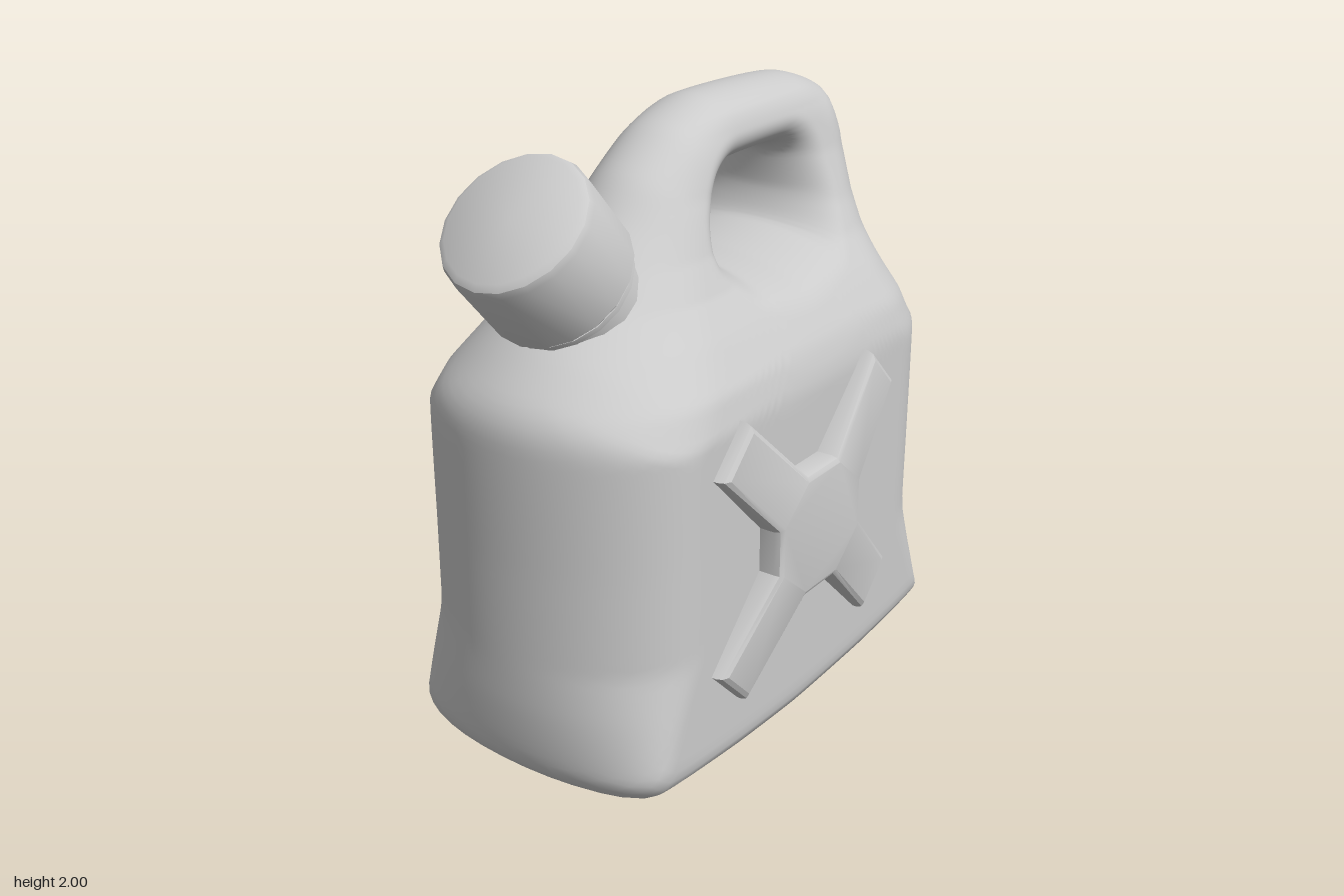
import * as THREE from 'three';
import { toCreasedNormals } from 'three/addons/utils/BufferGeometryUtils.js';

const material = new THREE.MeshStandardMaterial({ color: 0xcccccc });

// Side outline and handle hole as (z, y), both running front -> top -> back -> bottom
const OUTLINE = [[0, 0], [0.4, 0.02], [0.73, 0.05], [0.84, 0.14], [0.865, 0.35], [0.865, 0.8],
  [0.865, 1.2], [0.83, 1.3], [0.72, 1.42], [0.55, 1.57], [0.4, 1.72], [0.3, 1.83], [0.14, 1.94],
  [-0.05, 2], [-0.3, 2], [-0.53, 1.985], [-0.68, 1.93], [-0.75, 1.81], [-0.775, 1.6], [-0.8, 1.45],
  [-0.89, 1.28], [-0.925, 1.2], [-0.925, 0.8], [-0.92, 0.35], [-0.91, 0.14], [-0.83, 0.05], [-0.4, 0.015]];
const HOLE = [[0.08, 1.58], [0.065, 1.65], [0, 1.75], [-0.08, 1.79], [-0.36, 1.79], [-0.42, 1.75],
  [-0.43, 1.63], [-0.38, 1.535], [-0.18, 1.5], [0, 1.52]];
const CENTRE = new THREE.Vector2(-0.18, 1.65);

// Half width and edge rounding by height
const WIDTH = [[0, 0.45], [0.14, 0.467], [1.18, 0.467], [1.28, 0.44], [1.4, 0.365], [1.5, 0.295],
  [1.6, 0.245], [1.75, 0.19], [1.9, 0.155], [2, 0.14]];
const ROUNDING = [[0, 0.1], [0.1, 0.1], [0.5, 0.33], [1.2, 0.33], [1.5, 0.25], [1.8, 0.16], [1.95, 0.1], [2, 0.1]];

function lookup(table, y) {
  for (let i = 1; i < table.length; i++) {
    const [y0, v0] = table[i - 1], [y1, v1] = table[i];
    if (y <= y1) return THREE.MathUtils.lerp(v0, v1, Math.max(0, (y - y0) / (y1 - y0)));
  }
  return table[table.length - 1][1];
}

function closedCurve(points, count) {
  const curve = new THREE.CatmullRomCurve3(
    points.map(([z, y]) => new THREE.Vector3(z, y, 0)), true, 'catmullrom', 0.3);
  return curve.getSpacedPoints(count).slice(0, count).map((p) => new THREE.Vector2(p.x, p.y));
}

// Shortest distance from a point to a closed loop
function distanceTo(loop, z, y) {
  let best = Infinity;
  for (let i = 0; i < loop.length; i++) {
    const a = loop[i], b = loop[(i + 1) % loop.length];
    const dz = b.x - a.x, dy = b.y - a.y;
    const k = THREE.MathUtils.clamp(((z - a.x) * dz + (y - a.y) * dy) / (dz * dz + dy * dy), 0, 1);
    best = Math.min(best, Math.hypot(z - a.x - k * dz, y - a.y - k * dy));
  }
  return best;
}

// Where the ray from the hole's centre towards p crosses the hole's edge
function holePoint(loop, p) {
  const d = p.clone().sub(CENTRE).normalize();
  for (let i = 0; i < loop.length; i++) {
    const a = loop[i].clone().sub(CENTRE), b = loop[(i + 1) % loop.length].clone().sub(CENTRE);
    const ca = d.cross(a), cb = d.cross(b);
    if (ca * cb <= 0 && d.dot(a) + d.dot(b) > 0) return a.lerp(b, ca / (ca - cb)).add(CENTRE);
  }
  return CENTRE.clone();
}

const roundOff = (d, size) => Math.sqrt(1 - (1 - Math.min(d / size, 1)) ** 2);

// Body and handle in one skin: rings run from the hole over the left side to the outline and back
function bodyGeometry() {
  const N = 220, M = 46, ring = 2 * M;
  const outer = closedCurve(OUTLINE, N), hole = closedCurve(HOLE, 90);
  const positions = [], index = [];
  outer.forEach((end, i) => {
    const start = holePoint(hole, end), left = [];
    for (let j = 0; j <= M; j++) {
      const t = (1 - Math.cos((Math.PI * j) / M)) / 2;
      const z = THREE.MathUtils.lerp(start.x, end.x, t), y = THREE.MathUtils.lerp(start.y, end.y, t);
      const edge = j === 0 || j === M;
      const x = edge ? 0 : lookup(WIDTH, y)
        * roundOff(distanceTo(outer, z, y), lookup(ROUNDING, y)) * roundOff(distanceTo(hole, z, y), 0.11);
      left.push([x, y, z]);
    }
    for (let j = 0; j < ring; j++) {
      const [x, y, z] = left[j <= M ? j : ring - j];
      positions.push(j <= M ? x : -x, Math.max(y, 0), z);
      const next = (i + 1) % N, k = (j + 1) % ring;
      const a = i * ring + j, b = next * ring + j, c = next * ring + k, d = i * ring + k;
      index.push(a, b, c, a, c, d);
    }
  });
  const geometry = new THREE.BufferGeometry();
  geometry.setAttribute('position', new THREE.Float32BufferAttribute(positions, 3));
  geometry.setIndex(index);
  geometry.computeVertexNormals();
  return geometry;
}

// Raised cross, bulging towards its middle
function crossGeometry() {
  const corner = [[0.215, 0.08], [0.455, 0.32], [0.345, 0.43], [0.09, 0.185]];
  const points = [];
  for (const [sx, sy] of [[1, 1], [-1, 1], [-1, -1], [1, -1]]) {
    const quarter = corner.map(([x, y]) => new THREE.Vector2(x * sx, y * sy));
    points.push(...(sx * sy > 0 ? quarter : quarter.reverse()));
  }
  const geometry = new THREE.ExtrudeGeometry(new THREE.Shape(points), {
    depth: 0.1, bevelThickness: 0.025, bevelSize: 0.02, bevelSegments: 2 });
  const p = geometry.attributes.position;
  for (let i = 0; i < p.count; i++) {
    const r2 = p.getX(i) ** 2 + p.getY(i) ** 2;
    p.setZ(i, p.getZ(i) + 0.425 - 0.13 * r2);
  }
  return toCreasedNormals(geometry, 0.5);
}

function lathe(name, profile) {
  const geometry = new THREE.LatheGeometry(profile.map(([r, y]) => new THREE.Vector2(r, y)), 18);
  const mesh = new THREE.Mesh(toCreasedNormals(geometry, 0.6), material);
  mesh.name = name;
  return mesh;
}

export function createModel() {
  const model = new THREE.Group();
  model.name = 'fuelCan';

  const body = new THREE.Mesh(bodyGeometry(), material);
  body.name = 'bodyWithHandle';
  model.add(body);

  const cross = crossGeometry();
  for (const side of [1, -1]) {
    const mesh = new THREE.Mesh(cross, material);
    mesh.name = side > 0 ? 'leftCross' : 'rightCross';
    mesh.position.set(0, 0.74, 0.005);
    mesh.rotation.y = (side * Math.PI) / 2;
    model.add(mesh);
  }

  // Spout, tilted forwards
  const spout = new THREE.Group();
  spout.name = 'spout';
  spout.position.set(0, 1.59, 0.57);
  spout.rotation.x = THREE.MathUtils.degToRad(42);
  spout.add(
    lathe('neck', [[0.2, -0.2], [0.2, -0.035], [0.215, -0.03], [0.215, -0.012], [0.19, -0.01], [0.19, 0.03]]),
    lathe('cap', [[0, 0], [0.222, 0], [0.232, 0.012], [0.232, 0.265], [0.225, 0.285], [0.205, 0.298], [0, 0.302]]));
  model.add(spout);
  return model;
}
